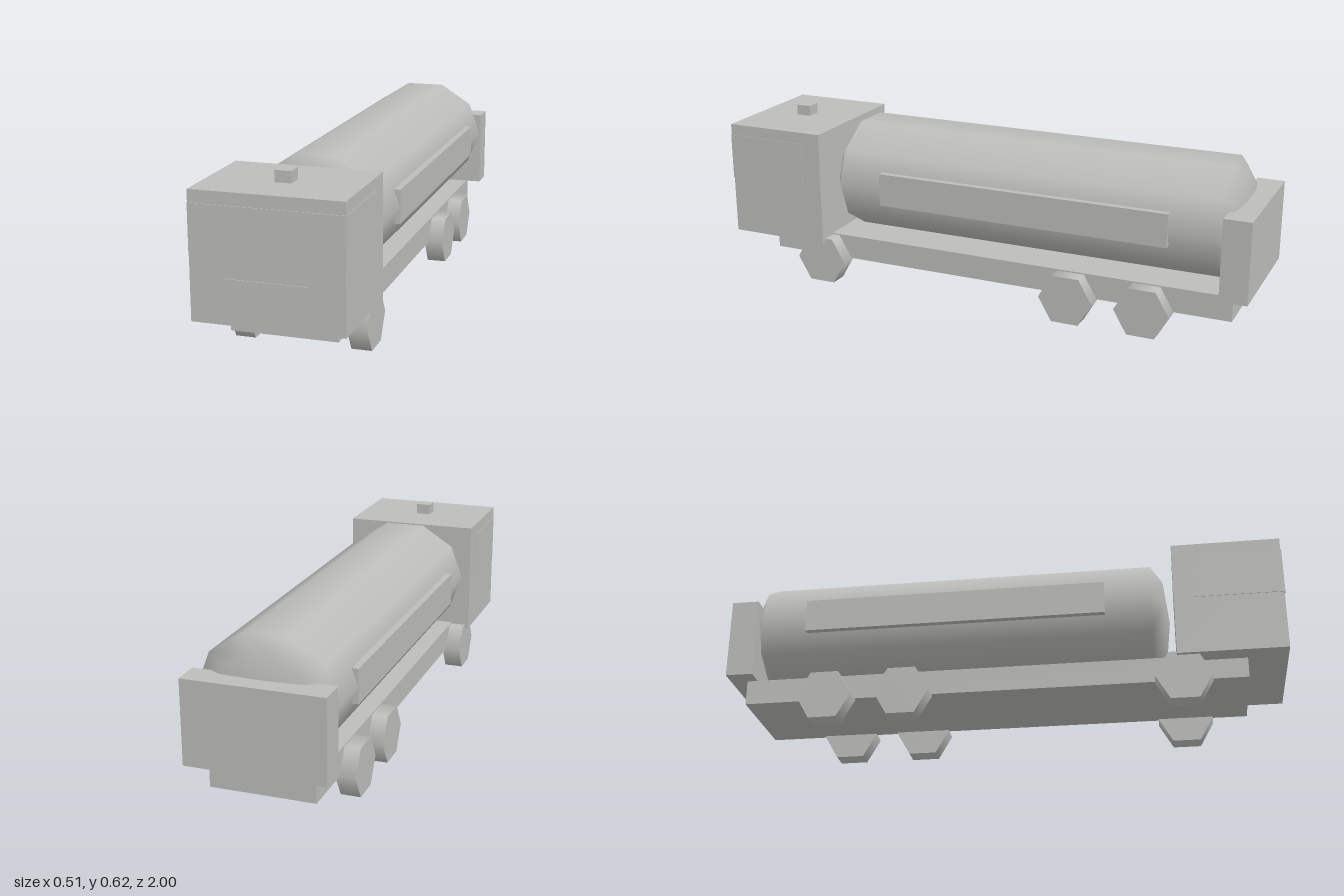
import * as THREE from 'three';

export function createModel() {
  const truck = new THREE.Group();
  truck.name = 'tankerTruck';
  const grey = new THREE.MeshStandardMaterial({ color: 0xbdbdbb });
  grey.name = 'plain grey';

  const add = (name, geometry, x, y, z) => {
    const mesh = new THREE.Mesh(geometry, grey);
    mesh.name = name;
    mesh.position.set(x, y, z);
    truck.add(mesh);
    return mesh;
  };
  // Box given by its low and high limits on each axis
  const box = (name, [x0, x1], [y0, y1], [z0, z1]) =>
    add(name, new THREE.BoxGeometry(x1 - x0, y1 - y0, z1 - z0),
      (x0 + x1) / 2, (y0 + y1) / 2, (z0 + z1) / 2);

  // Chassis, cab, beacon and rear cabinet
  box('chassis', [-0.181, 0.181], [0.088, 0.178], [-0.938, 0.858]);
  box('cab', [-0.252, 0.252], [0.16, 0.583], [0.615, 0.997]);
  box('beacon', [-0.028, 0.028], [0.583, 0.622], [0.788, 0.844]);
  box('rearCabinet', [-0.241, 0.241], [0.18, 0.472], [-1, -0.902]);

  // Windscreen and grille plates
  box('windscreen', [-0.252, 0.252], [0.372, 0.541], [0.994, 1]);
  box('grille', [-0.14, 0.14], [0.19, 0.31], [0.994, 1]);

  // Ten-sided oval tank with shallow domed ends
  const rx = 0.24, ry = 0.21, front = 0.535, back = -0.88, dome = 0.062;
  const barrel = new THREE.CylinderGeometry(1, 1, 1, 10, 1, true, Math.PI / 2);
  barrel.rotateX(Math.PI / 2).scale(rx, ry, front - back);
  add('tankBarrel', barrel, 0, 0.4, (front + back) / 2);
  for (const [name, dir, z] of [['tankFrontDome', 1, front], ['tankRearDome', -1, back]]) {
    const cap = new THREE.SphereGeometry(1, 10, 2, 0, Math.PI * 2, 0, Math.PI / 2);
    cap.rotateX(dir * Math.PI / 2).scale(rx, ry, dome);
    add(name, cap, 0, 0.4, z);
  }

  // Parts mirrored on both sides
  for (const [side, s] of [['left', 1], ['right', -1]]) {
    const span = (a, b) => (s > 0 ? [a, b] : [-b, -a]);
    box(side + 'Window', span(0.249, 0.254), [0.372, 0.541], [0.69, 0.994]);
    box(side + 'TankPanel', span(0.215, 0.241), [0.341, 0.461], [-0.717, 0.371]);
    // Six-sided wheels on three axles
    [0.635, -0.355, -0.635].forEach((z, i) => {
      const wheel = new THREE.CylinderGeometry(0.1, 0.1, 0.07, 6).rotateZ(Math.PI / 2);
      add(side + 'Wheel' + (i + 1), wheel, s * 0.202, 0.0866, z);
    });
  }
  return truck;
}
